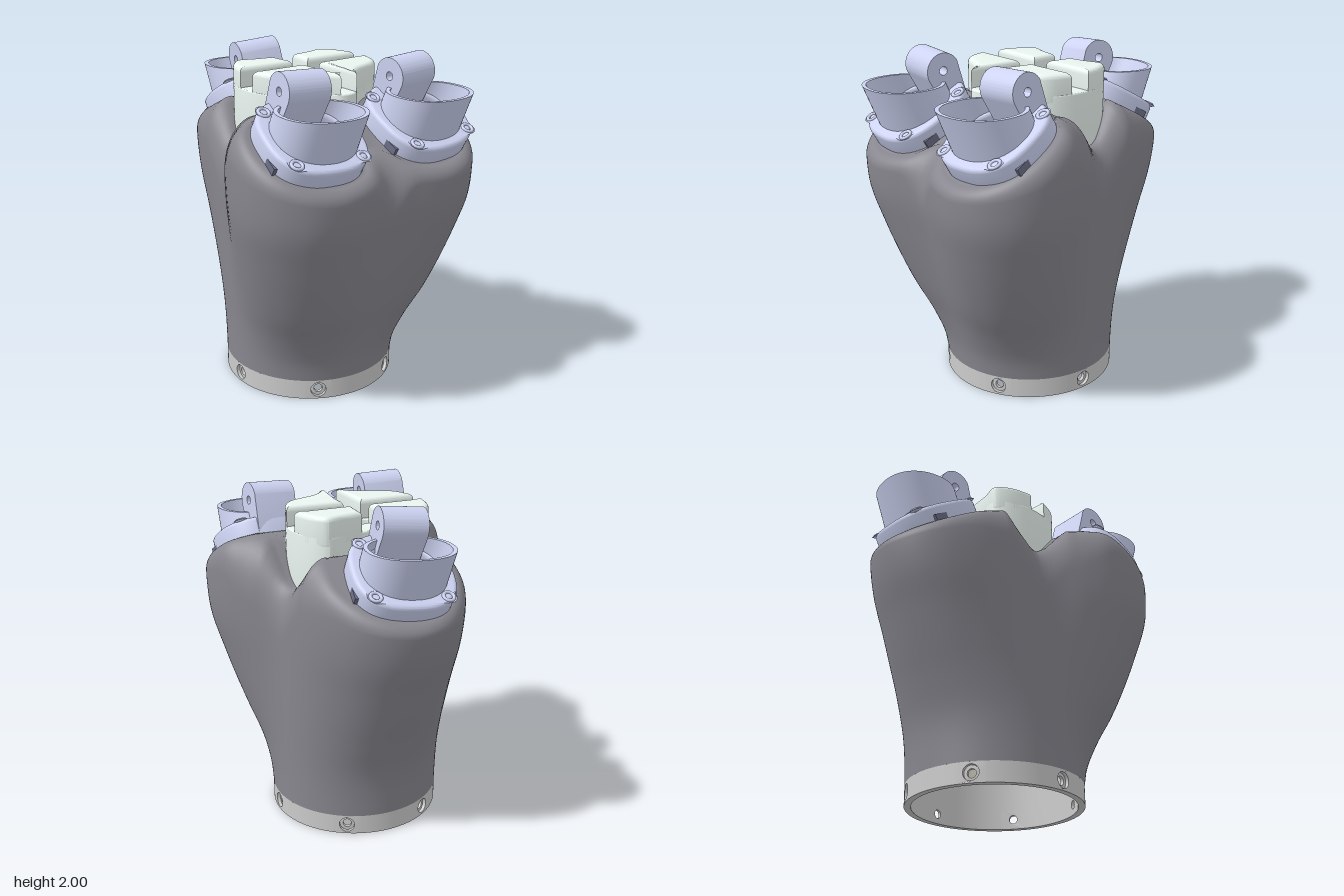
import * as THREE from 'three';
import { toCreasedNormals } from 'three/addons/utils/BufferGeometryUtils.js';

const mat = (color) => new THREE.MeshStandardMaterial({ color, side: THREE.DoubleSide });
const GREY = mat(0xcccccc), DARK = mat(0x88878f), PAD = mat(0xeaf5f0), BLUE = mat(0xcdd3f2),
  BEIGE = mat(0xc4c2b6), POCKET = mat(0x6c7088);
const CX = 0.033, R = 0.52;   // axis and radius of the wrist ring
const SEATS = [[0.545, 0.38], [0.545, -0.38], [-0.545, 0]];   // mount centres in plan

function add(parent, name, geo, material, x = 0, y = 0, z = 0) {
  const m = new THREE.Mesh(geo, material);
  m.name = name;
  m.position.set(x, y, z);
  parent.add(m);
  return m;
}
const crease = (g, a = 0.6) => toCreasedNormals(g, a);
const v2 = (p) => new THREE.Vector2(p[0], p[1]);
const mirrored = (half) => [...half, ...half.slice(1, -1).reverse().map(([x, z]) => [x, -z])];
const circle = (x, y, rx, ry = rx) => new THREE.Path().absellipse(x, y, rx, ry, 0, Math.PI * 2, true);
const bump = (x, at, width) => Math.exp(-(((x - at) / width) ** 2));

// extrude a plan shape upwards from y0 to y1 with a rounded edge
function slab(shape, y0, y1, b) {
  const g = new THREE.ExtrudeGeometry(shape, {
    depth: y1 - y0 - 2 * b, bevelThickness: b, bevelSize: b, bevelOffset: -b, bevelSegments: 6, curveSegments: 24,
  });
  g.translate(0, 0, b).rotateX(-Math.PI / 2).translate(0, y0, 0);
  return crease(g, 0.3);
}

// skin over rows of points, from bottom to top; open(point) leaves out a cell
function loft(rows, open = () => false) {
  const n = rows[0].length, idx = [];
  for (let j = 0; j < rows.length - 1; j++) for (let i = 0; i < n; i++) {
    const k = (i + 1) % n, a = j * n + i, b = j * n + k;
    if (!open(rows[j][i])) idx.push(a, a + n, b, b, a + n, b + n);
  }
  const g = new THREE.BufferGeometry();
  g.setAttribute('position', new THREE.Float32BufferAttribute(rows.flat(2), 3));
  g.setIndex(idx);
  g.computeVertexNormals();
  return g;
}

// height of the body's top: a slope under each mount and a dip between the lobes
const TOP = [[-0.9, 1.385], [-0.29, 1.71], [-0.2, 1.585], [-0.13, 1.5], [-0.07, 1.48], [0, 1.52],
  [0.1, 1.63], [0.18, 1.71], [0.27, 1.735], [0.9, 1.375]];
function topHeight(x, z) {
  let k = 0;
  while (k < TOP.length - 2 && x > TOP[k + 1][0]) k++;
  const [[x0, y0], [x1, y1]] = [TOP[k], TOP[k + 1]];
  const valley = 0.04 * bump(z, 0, 0.08) * THREE.MathUtils.clamp((x - 0.45) / 0.3, 0, 1);
  return y0 + (y1 - y0) * (x - x0) / (x1 - x0) - valley;
}
const underMount = ([x, y, z]) => y > 1.35 && SEATS.some(([sx, sz]) => Math.hypot((x - sx) / 0.866, z - sz) < 0.235);

// three-lobed shell growing from a circle to the lobed outline, open under the mounts
function bodyShell(yBase, thickness) {
  const half = [[0.81, 0], [0.83, 0.12], [0.865, 0.27], [0.87, 0.4], [0.82, 0.56], [0.71, 0.685], [0.58, 0.75],
    [0.46, 0.765], [0.3, 0.735], [0.15, 0.665], [0, 0.575], [-0.1, 0.535], [-0.22, 0.515], [-0.4, 0.48],
    [-0.56, 0.42], [-0.71, 0.32], [-0.815, 0.18], [-0.86, 0]];
  const curve = new THREE.CatmullRomCurve3(mirrored(half).map(([x, z]) => new THREE.Vector3(x, 0, z)), true);
  const N = 160, pts = curve.getSpacedPoints(N).slice(0, N);
  const grow = [[0.01, 0.07, 0.25, 0.47, 0.68, 0.89, 1], [0.03, 0.21, 0.46, 0.66, 0.83, 0.97, 1]]
    .map((t) => new THREE.SplineCurve(t.map((s, i) => new THREE.Vector2(i, s))));
  const WALL = 28, FILLET = 12, CAP = 36, rows = Array.from({ length: WALL + FILLET + CAP + 1 }, () => []);
  pts.forEach((p, i) => {
    const q = pts[(i + 1) % N], o = pts[(i + N - 1) % N], len = Math.hypot(q.x - o.x, q.z - o.z);
    const nx = (q.z - o.z) / len, nz = -(q.x - o.x) / len;
    const a = Math.atan2(p.z, p.x - CX), w = THREE.MathUtils.clamp((p.x / 0.87 + 1) / 2, 0, 1);
    // the shoulder is rounder between the lobes and beside the pad
    const gapRight = p.x > 0.7 ? bump(p.z, 0, 0.09) : 0, gapSide = bump(p.x, -0.07, 0.15);
    const flank = bump(p.x, 0.14, 0.13) + 0.7 * bump(p.x, -0.33, 0.15);
    const d = 0.08 + 0.14 * gapRight + 0.02 * gapSide + 0.13 * flank;
    const f = 0.2 - 0.12 * Math.abs(p.x) / 0.87 + 0.25 * gapRight + 0.08 * gapSide + 0.14 * flank;
    const h = topHeight(p.x - nx * d, p.z - nz * d) - thickness;
    const at = (y, inset) => {
      const t = THREE.MathUtils.clamp((y - 0.2) / 1.2, 0, 1);
      let s = THREE.MathUtils.lerp(grow[0].getPoint(t).y, grow[1].getPoint(t).y, w);
      if (y < 0.2) s *= (y - 0.12) / 0.08;
      return [THREE.MathUtils.lerp(CX + R * Math.cos(a), p.x, s) - nx * (inset + thickness), y,
        THREE.MathUtils.lerp(R * Math.sin(a), p.z, s) - nz * (inset + thickness)];
    };
    for (let j = 0; j <= WALL; j++) rows[j].push(at(yBase + (h - f - yBase) * j / WALL, 0));
    for (let j = 1; j <= FILLET; j++) {
      const e = j / FILLET * Math.PI / 2;
      rows[WALL + j].push(at(h - f + f * Math.sin(e), d * (1 - Math.cos(e))));
    }
    const [ex, , ez] = rows[WALL + FILLET][i];
    for (let j = 1; j <= CAP; j++) {
      const k = 1 - j / CAP * 0.999, x = ex * k, z = ez * k;
      rows[WALL + FILLET + j].push([x, topHeight(x, z) - thickness, z]);
    }
  });
  return loft(rows, underMount);
}

// wrist ring: six arcs joined by curved panels with stepped screw holes
function wristRing() {
  const g = new THREE.Group(), H = 0.12, half = Math.PI / 20;
  g.name = 'wristRing';
  g.position.x = CX;
  const section = [[0.48, 0], [R, 0], [R, H], [0.48, H], [0.48, 0]].map(v2);
  const panel = (depth, r0, hole) => {
    const s = new THREE.Shape(), w = half * R, n = 8;
    for (let i = 0; i <= n; i++) s.lineTo(-w + 2 * w * i / n, 0);
    for (let i = 0; i <= n; i++) s.lineTo(w - 2 * w * i / n, H);
    s.curves.shift();
    s.holes.push(circle(0, H / 2, hole));
    const geo = new THREE.ExtrudeGeometry(s, { depth, bevelEnabled: false, curveSegments: 20 });
    const p = geo.attributes.position;
    for (let i = 0; i < p.count; i++) {
      const a = p.getX(i) / R, r = r0 + p.getZ(i);
      p.setXYZ(i, r * Math.sin(a), p.getY(i), r * Math.cos(a));
    }
    return crease(geo);
  };
  const outer = panel(0.02, 0.5, 0.046), inner = panel(0.02, 0.48, 0.026);
  const arc = crease(new THREE.LatheGeometry(section, 16, half, Math.PI / 3 - 2 * half));
  for (let k = 0; k < 6; k++) {
    for (const [name, geo] of [['ringArc', arc], ['screwRecess', outer], ['screwHole', inner]])
      add(g, name, geo, GREY).rotation.y = k * Math.PI / 3;
  }
  add(g, 'innerSleeve', new THREE.CylinderGeometry(0.478, 0.478, 0.195, 64, 1, true), GREY, 0, 0.2125);
  return g;
}

// palm pad: a base and four raised cushions separated by crossing grooves
function palmPad() {
  const g = new THREE.Group();
  g.name = 'palmPad';
  const edge = [[0.42, 0], [0.405, 0.055], [0.35, 0.1], [0.3, 0.165], [0.27, 0.24], [0.235, 0.32], [0.17, 0.375],
    [0.06, 0.41], [-0.06, 0.412], [-0.16, 0.388], [-0.24, 0.345], [-0.28, 0.29], [-0.25, 0.19], [-0.228, 0.07], [-0.223, 0]];
  const loop = new THREE.CatmullRomCurve3(mirrored(edge).map(([x, z]) => new THREE.Vector3(x, z, 0)), true);
  const base = new THREE.Shape(loop.getPoints(120).slice(0, -1).map((p) => new THREE.Vector2(p.x, p.y)));
  base.holes.push(circle(0, 0, 0.06, 0.11));
  add(g, 'padBase', slab(base, 1.42, 1.81, 0.01), PAD);
  add(g, 'padDish', new THREE.CylinderGeometry(0.13, 0.13, 0.2, 32).scale(0.6, 1, 1), PAD, 0, 1.66);
  for (const [sx, part] of [[1, edge.slice(1, 8)], [-1, edge.slice(8, 14)]]) for (const sz of [1, -1]) {
    const line = new THREE.SplineCurve(part.map(([x, z]) => new THREE.Vector2(x, z * sz))).getPoints(24);
    add(g, 'padCushion', slab(new THREE.Shape([new THREE.Vector2(0.055 * sx, 0.055 * sz), ...line]), 1.74, 1.925, 0.03), PAD);
  }
  return g;
}

// finger mount in its own frame: +x outward, y normal to the seat, turned by yaw and tilted outward
function fingerMount(yaw, lugOffset) {
  const g = new THREE.Group();
  g.name = 'fingerMount';
  const oval = (a, b, n, shift = 0) => Array.from({ length: 64 }, (_, i) => {
    const t = i / 64 * Math.PI * 2, c = Math.cos(t), s = Math.sin(t);
    return new THREE.Vector2(a * Math.sign(c) * Math.abs(c) ** (2 / n) + shift, b * Math.sign(s) * Math.abs(s) ** (2 / n));
  });
  const flange = new THREE.Shape(oval(0.287, 0.295, 2.6, -0.022));
  flange.holes.push(new THREE.Path(oval(0.2, 0.215, 2)));
  for (const x of [0.18, -0.215]) for (const z of [0.205, -0.205]) {
    flange.holes.push(circle(x, z, 0.022));
    add(g, 'screwBoss', new THREE.TorusGeometry(0.03, 0.01, 10, 24).rotateX(Math.PI / 2), BLUE, x, 0.11, z);
  }
  add(g, 'flange', slab(flange, -0.03, 0.11, 0.025), BLUE);
  for (const z of [1, -1]) add(g, 'sidePocket', new THREE.BoxGeometry(0.1, 0.05, 0.02), POCKET, 0.08, 0.02, z * 0.282);

  // cup with a level rim, leaning slightly inward
  const ring = (a, b, rim) => oval(a, b, 2.2).map((p) => {
    const outward = p.x * Math.cos(yaw) + p.y * Math.sin(yaw);
    const v = rim ? Math.max(0.11, 0.262 + 0.5 * outward) : -0.02;
    return [p.x - 0.18 * Math.max(0, v - 0.1), v, p.y];
  });
  add(g, 'cup', crease(loft([ring(0.222, 0.245, false), ring(0.222, 0.245, true), ring(0.2, 0.22, true),
    ring(0.197, 0.215, false)]), 0.7), BLUE);

  // seat floor with an I-shaped opening into the hollow body
  const floor = new THREE.Shape(oval(0.205, 0.22, 2.2));
  floor.holes.push(new THREE.Path([[-0.13, -0.17], [-0.13, -0.11], [-0.09, -0.11], [-0.09, 0.11], [-0.13, 0.11], [-0.13, 0.17],
    [0.13, 0.17], [0.13, 0.11], [0.1, 0.11], [0.1, -0.11], [0.13, -0.11], [0.13, -0.17]].map(v2)));
  add(g, 'seatFloor', slab(floor, -0.02, 0.005, 0.002), BLUE);

  // hinge lug with a rounded head and pin hole
  const lug = new THREE.Shape();
  lug.moveTo(-0.29, 0);
  lug.lineTo(-0.13, 0);
  lug.absarc(-0.235, 0.228, 0.105, 0, Math.PI, false);
  lug.lineTo(-0.29, 0);
  lug.holes.push(circle(-0.235, 0.228, 0.025));
  const lugGeo = new THREE.ExtrudeGeometry(lug, { depth: 0.26, bevelEnabled: false, curveSegments: 32 });
  add(g, 'hingeLug', crease(lugGeo), BLUE, 0, 0, -0.13 + lugOffset);
  g.rotation.set(0, yaw, -Math.PI / 6, 'ZYX');
  return g;
}

export function createModel() {
  const model = new THREE.Group();
  model.name = 'gripperPalm';
  add(model, 'body', bodyShell(0.12, 0), DARK);
  add(model, 'bodyLining', bodyShell(0.3, 0.04), BEIGE);
  model.add(wristRing(), palmPad());
  for (const side of [1, -1]) {
    const m = fingerMount(-0.08 * side, 0.01 * side);
    m.position.set(0.545, 1.575, 0.38 * side);
    model.add(m);
  }
  const opposite = new THREE.Group(), thumb = fingerMount(-0.17, -0.005);
  opposite.name = 'opposingMount';
  thumb.position.set(0.55, 1.573, 0);
  opposite.rotation.y = Math.PI;
  opposite.add(thumb);
  model.add(opposite);
  return model;
}
